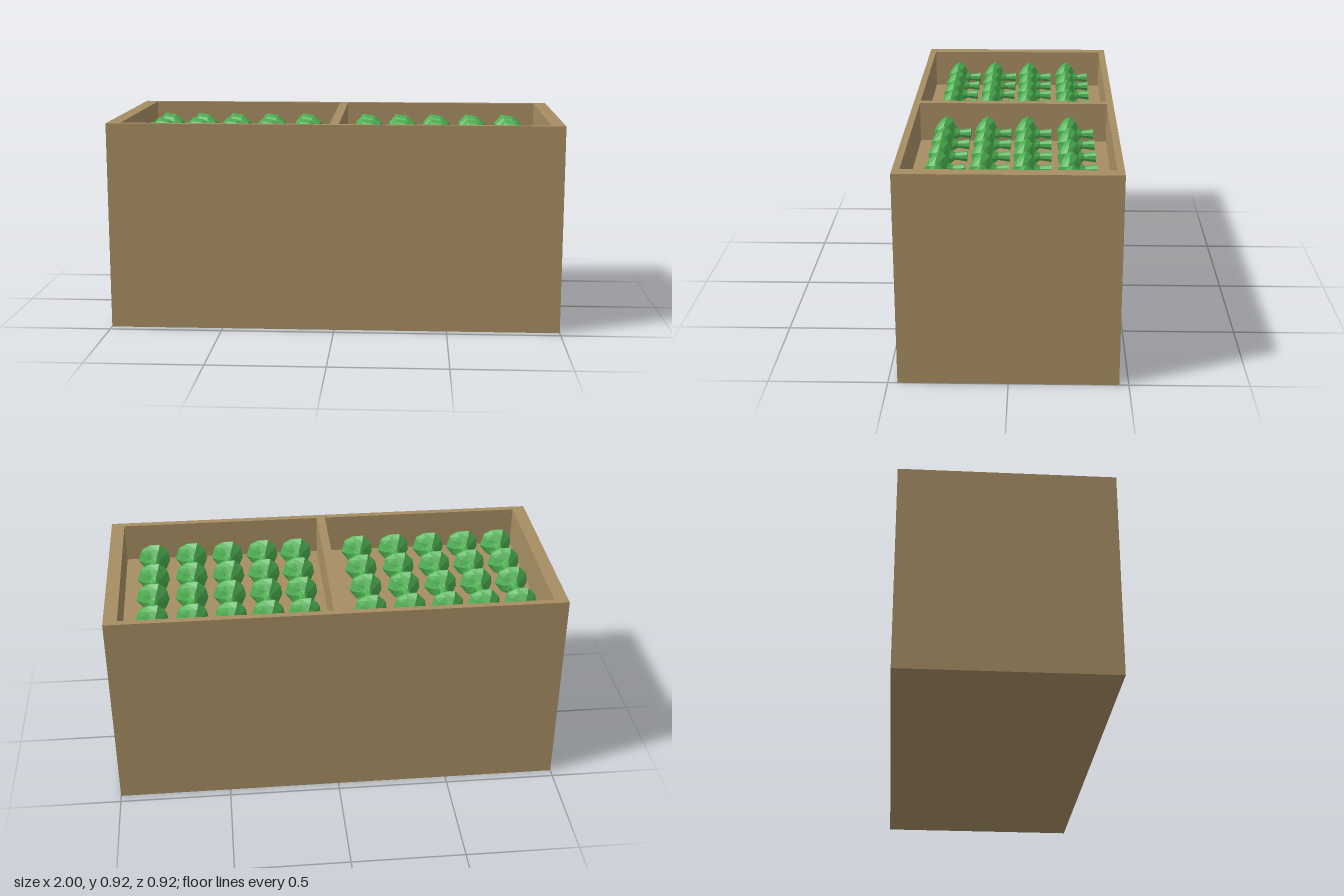
import * as THREE from 'three';

const WIDTH = 2, DEPTH = 0.92, HEIGHT = 0.92, FLOOR = 0.74;

// Rectangular outline, drawn as a shape or as a hole
function rect(target, x0, x1, z0, z1) {
  target.moveTo(x0, z0);
  target.lineTo(x1, z0);
  target.lineTo(x1, z1);
  target.lineTo(x0, z1);
  target.closePath();
  return target;
}

// One faceted vegetable: flared stalk and lumpy crown, stalk towards -z
function vegetableGeometry() {
  const profile = [
    [0, -0.085], [0.024, -0.085], [0.016, -0.035], [0.026, -0.015],
    [0.056, 0.004], [0.074, 0.028], [0.062, 0.056], [0.036, 0.072], [0, 0.079],
  ].map(([r, y]) => new THREE.Vector2(r, y));
  const geometry = new THREE.LatheGeometry(profile, 9);
  const p = geometry.attributes.position;
  for (let i = 0; i < p.count; i++) {
    const x = p.getX(i), y = p.getY(i), z = p.getZ(i);
    if (y < -0.02 || Math.hypot(x, z) < 0.001) continue;
    // Uneven lobes around the crown
    const a = Math.atan2(z, x);
    const k = 1 + 0.07 * Math.sin(3 * a + 40 * y);
    p.setXYZ(i, x * k, y + 0.006 * Math.cos(2 * a + 1) + x * 0.06, z * k);
  }
  geometry.rotateX(Math.PI / 2);
  geometry.computeVertexNormals();
  return geometry;
}

export function createModel() {
  const model = new THREE.Group();
  model.name = 'vegetableCrate';
  const wood = new THREE.MeshStandardMaterial({ color: 0xa68d63 });
  const green = new THREE.MeshStandardMaterial({ color: 0x4caf50, flatShading: true });

  // Solid base whose top is the floor of both compartments
  const base = new THREE.Mesh(new THREE.BoxGeometry(WIDTH, FLOOR, DEPTH), wood);
  base.name = 'crateBase';
  base.position.y = FLOOR / 2;
  model.add(base);

  // Walls and divider around two open compartments
  const outline = rect(new THREE.Shape(), -WIDTH / 2, WIDTH / 2, -DEPTH / 2, DEPTH / 2);
  outline.holes.push(
    rect(new THREE.Path(), -0.94, -0.02, -0.43, 0.43),
    rect(new THREE.Path(), 0.02, 0.94, -0.43, 0.43),
  );
  const rimGeometry = new THREE.ExtrudeGeometry(outline, { depth: HEIGHT - FLOOR, bevelEnabled: false });
  rimGeometry.rotateX(-Math.PI / 2);
  const walls = new THREE.Mesh(rimGeometry, wood);
  walls.name = 'crateWalls';
  walls.position.y = FLOOR;
  model.add(walls);

  // Five by four vegetables in each compartment
  const geometry = vegetableGeometry();
  const columns = {
    rightCompartment: [-0.84, -0.675, -0.51, -0.34, -0.165],
    leftCompartment: [0.13, 0.29, 0.455, 0.625, 0.8],
  };
  for (const [name, xs] of Object.entries(columns)) {
    const group = new THREE.Group();
    group.name = name + 'Vegetables';
    for (const x of xs) {
      for (const z of [-0.28, -0.09, 0.09, 0.275]) {
        const vegetable = new THREE.Mesh(geometry, green);
        vegetable.name = 'vegetable';
        vegetable.position.set(x, 0.81, z);
        group.add(vegetable);
      }
    }
    model.add(group);
  }
  return model;
}
